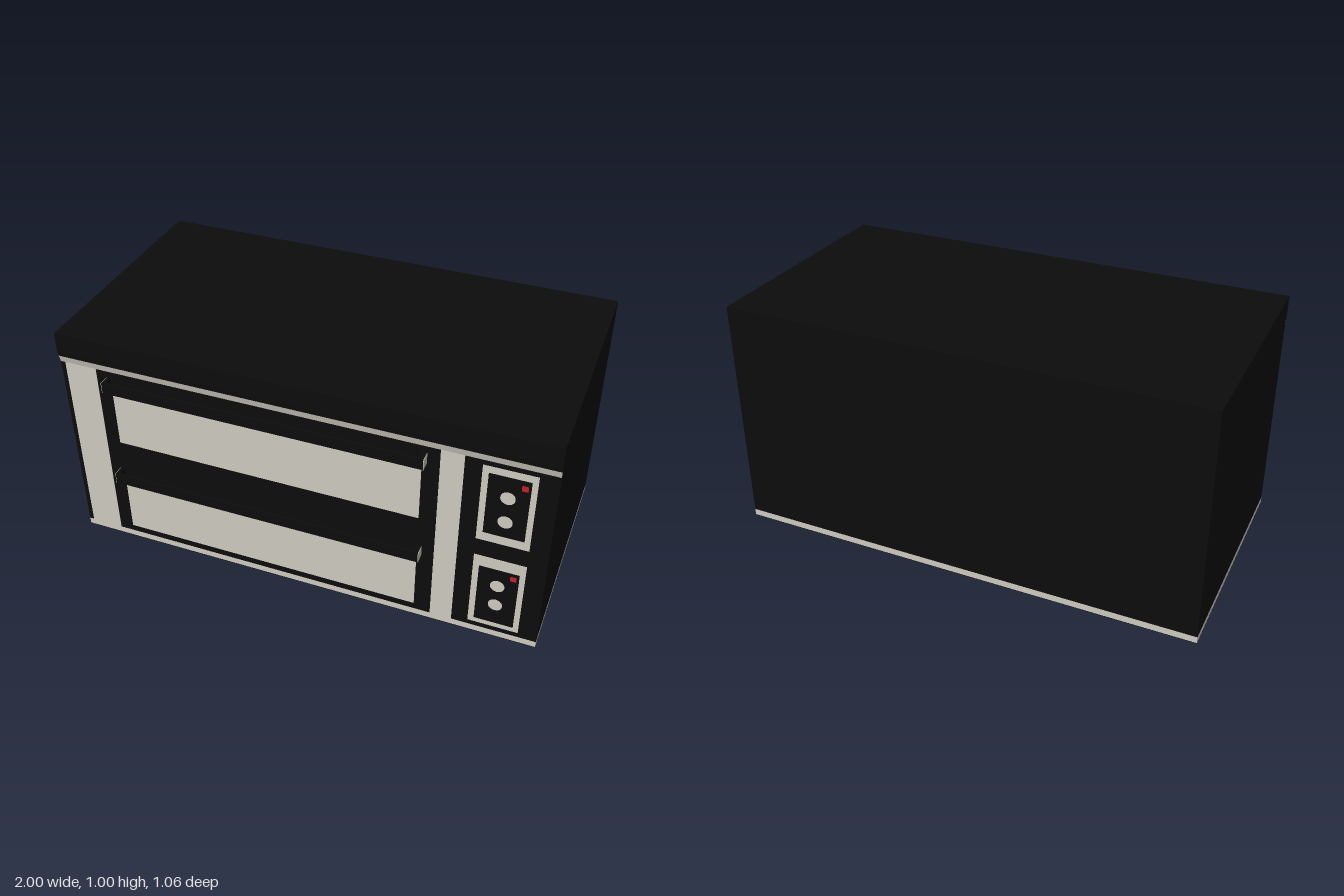
import * as THREE from 'three';

const black = new THREE.MeshStandardMaterial({ color: 0x0c0c0c });
const beige = new THREE.MeshStandardMaterial({ color: 0xcdc9c0 });
const red = new THREE.MeshStandardMaterial({ color: 0xc4202a });

const BACK = -0.53, FRONT = 0.487;

// Box given by its limits on each axis
function box(parent, name, material, [x0, x1], [y0, y1], [z0, z1]) {
  const mesh = new THREE.Mesh(new THREE.BoxGeometry(x1 - x0, y1 - y0, z1 - z0), material);
  mesh.position.set((x0 + x1) / 2, (y0 + y1) / 2, (z0 + z1) / 2);
  mesh.name = name;
  parent.add(mesh);
  return mesh;
}

// Thin panel on the front; a higher layer lies over a lower one
function panel(parent, name, material, xs, ys, layer = 1) {
  return box(parent, name, material, xs, ys, [FRONT - 0.005, FRONT + 0.0012 * layer]);
}

// Side profile of [z, y] points, extruded across the full width
function across(parent, name, material, points, halfWidth) {
  const shape = new THREE.Shape(points.map(([z, y]) => new THREE.Vector2(-z, y)));
  const geometry = new THREE.ExtrudeGeometry(shape, { depth: halfWidth * 2, bevelEnabled: false });
  geometry.translate(0, 0, -halfWidth).rotateY(Math.PI / 2);
  const mesh = new THREE.Mesh(geometry, material);
  mesh.name = name;
  parent.add(mesh);
}

function addDeck(parent, windowY, handleY) {
  const deck = new THREE.Group();
  deck.name = 'ovenDeck';
  parent.add(deck);
  panel(deck, 'doorWindow', beige, [-0.78, 0.5], windowY);

  // Handle: front bar, two brackets and their pale end plates
  const handle = new THREE.Group();
  handle.name = 'doorHandle';
  deck.add(handle);
  box(handle, 'handleBar', black, [-0.797, 0.517], handleY, [0.518, 0.53]);
  for (const side of [-1, 1]) {
    const end = -0.14 + side * 0.657;
    const inner = end - side * 0.015, outer = end + side * 0.002;
    const span = (a, b) => [Math.min(a, b), Math.max(a, b)];
    box(handle, 'handleBracket', black, span(inner, end), handleY, [FRONT, 0.519]);
    box(handle, 'handleEndPlate', beige, span(end, outer), handleY, [FRONT, 0.53]);
  }
}

function addControls(parent, frameY, faceY, knobYs, lightY) {
  const controls = new THREE.Group();
  controls.name = 'controlPanel';
  parent.add(controls);
  panel(controls, 'controlFrame', beige, [0.723, 0.926], frameY, 1);
  panel(controls, 'controlFace', black, [0.747, 0.904], faceY, 2);
  panel(controls, 'indicatorLight', red, [0.87, 0.894], lightY, 3);
  for (const y of knobYs) {
    const knob = new THREE.Mesh(new THREE.CylinderGeometry(0.028, 0.028, 0.008, 32), beige);
    knob.rotation.x = Math.PI / 2;
    knob.position.set(0.825, y, FRONT);
    knob.name = 'knob';
    controls.add(knob);
  }
}

export function createModel() {
  const model = new THREE.Group();
  model.name = 'deckOven';

  // Housing and plinth
  box(model, 'housing', black, [-1, 1], [0.03, 1], [BACK, FRONT]);
  box(model, 'plinth', beige, [-1, 1], [0.002, 0.03], [BACK, FRONT]);
  box(model, 'underside', black, [-1, 1], [0, 0.002], [BACK, FRONT]);

  // Overhanging front hood with a pale lower lip
  across(model, 'hood', black, [[0.48, 1], [0.5, 1], [0.5, 0.92], [0.497, 0.895], [0.48, 0.895]], 1);
  across(model, 'hoodLip', beige, [[0.48, 0.895], [0.497, 0.895], [0.488, 0.864], [0.48, 0.864]], 0.9995);

  // Upright pillars either side of the doors
  panel(model, 'leftPillar', beige, [-0.98, -0.842], [0.03, 0.866]);
  panel(model, 'rightPillar', beige, [0.568, 0.657], [0.03, 0.866]);

  // Two oven decks with their controls
  addDeck(model, [0.516, 0.79], [0.787, 0.834]);
  addDeck(model, [0.06, 0.332], [0.33, 0.376]);
  addControls(model, [0.49, 0.842], [0.53, 0.812], [0.717, 0.603], [0.766, 0.79]);
  addControls(model, [0.053, 0.41], [0.076, 0.358], [0.275, 0.175], [0.32, 0.343]);

  return model;
}
